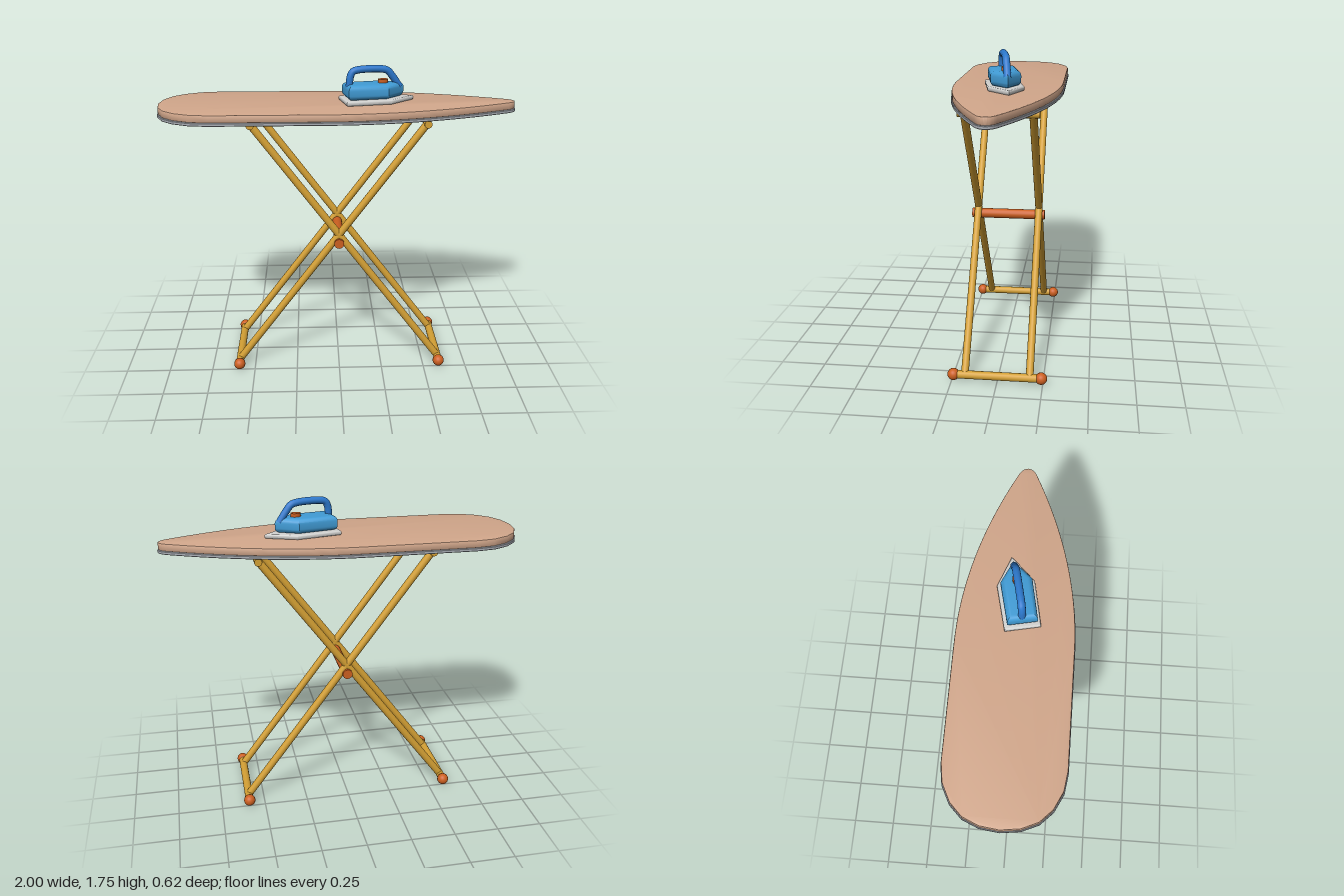
import * as THREE from 'three';
import { toCreasedNormals } from 'three/addons/utils/BufferGeometryUtils.js';

const paint = (name, color) => {
  const m = new THREE.MeshStandardMaterial({ color });
  m.name = name;
  return m;
};

export function createModel() {
  const fabric = paint('tan fabric', 0xd2a78b);
  const metal = paint('grey metal', 0xa9adb4);
  const steel = paint('pale steel', 0xd0d0ce);
  const wood = paint('yellow wood', 0xd4a034);
  const orange = paint('orange plastic', 0xcc5f20);
  const blue = paint('light blue plastic', 0x419cd6);
  const darkBlue = paint('blue plastic', 0x2c78cc);

  const model = new THREE.Group();
  model.name = 'ironingBoard';

  const add = (parent, name, geometry, material, x = 0, y = 0, z = 0) => {
    const mesh = new THREE.Mesh(geometry, material);
    mesh.name = name;
    mesh.position.set(x, y, z);
    parent.add(mesh);
    return mesh;
  };

  // Flat slab lying on y = 0, with its bevel kept inside the outline
  const slab = (shape, height, bevel, segments) => {
    const g = new THREE.ExtrudeGeometry(shape, {
      depth: height - 2 * bevel, bevelThickness: bevel, bevelSize: bevel,
      bevelOffset: -bevel, bevelSegments: segments, curveSegments: 20,
    });
    g.translate(0, 0, bevel);
    g.rotateX(-Math.PI / 2);
    return toCreasedNormals(g, 0.6);
  };

  // Round rod between two points
  const rod = (parent, name, a, b, radius, material) => {
    const from = new THREE.Vector3(...a), to = new THREE.Vector3(...b);
    const dir = to.clone().sub(from);
    const mesh = add(parent, name, new THREE.CylinderGeometry(radius, radius, dir.length(), 16), material);
    mesh.position.copy(from).add(to).multiplyScalar(0.5);
    mesh.quaternion.setFromUnitVectors(new THREE.Vector3(0, 1, 0), dir.normalize());
  };

  // Board outline: rounded heel, straight sides, tapering nose
  const outline = (grow) => {
    const heel = [[-0.69, 0.31], [-0.79, 0.295], [-0.88, 0.25], [-0.945, 0.185], [-0.982, 0.1]];
    const w = 0.306 + grow;
    const s = new THREE.Shape();
    s.moveTo(-0.07, -w);
    s.quadraticCurveTo(0.42, -w, 0.94, -0.055 - grow);
    s.quadraticCurveTo(0.988 + grow, -0.035, 0.991 + grow, 0);
    s.quadraticCurveTo(0.988 + grow, 0.035, 0.94, 0.055 + grow);
    s.quadraticCurveTo(0.42, w, -0.07, w);
    const k = w / 0.31;
    heel.forEach(([x, z]) => s.lineTo(x - grow, z * k));
    s.lineTo(-0.995 - grow, 0);
    heel.reverse().forEach(([x, z]) => s.lineTo(x - grow, -z * k));
    s.closePath();
    return s;
  };
  add(model, 'boardTray', slab(outline(0.005), 0.018, 0.003, 1), metal, 0, 1.49, 0);
  add(model, 'boardPad', slab(outline(0), 0.041, 0.005, 2), fabric, 0, 1.508, 0);

  // Two crossed leg frames
  for (const side of [-1, 1]) {
    const frame = new THREE.Group();
    frame.name = side < 0 ? 'rightLegFrame' : 'leftLegFrame';
    model.add(frame);
    const fx = 0.59 * side, tx = -0.48 * side;
    for (const z of [-0.178, 0.178]) {
      rod(frame, 'leg', [fx, 0.036, z], [tx, 1.467, z], 0.021, wood);
    }
    rod(frame, 'topBar', [tx, 1.467, -0.213], [tx, 1.467, 0.213], 0.021, wood);
    rod(frame, 'footBar', [fx, 0.036, -0.235], [fx, 0.036, 0.235], 0.023, wood);
    for (const z of [-0.241, 0.241]) {
      add(frame, 'footCap', new THREE.SphereGeometry(0.033, 20, 14), orange, fx, 0.036, z);
    }
  }
  rod(model, 'pivotBar', [0, 0.78, -0.213], [0, 0.78, 0.213], 0.028, orange);

  // Iron, turned slightly on the board
  const iron = new THREE.Group();
  iron.name = 'iron';
  iron.position.set(0.025, 1.549, 0.037);
  iron.rotation.y = 0.21;
  model.add(iron);

  const ironShape = (rear, rearHalf, shoulder, half, tip) => new THREE.Shape([
    [rear, -rearHalf], [shoulder, -half], [tip, 0], [shoulder, half], [rear, rearHalf],
  ].map(([x, y]) => new THREE.Vector2(x, y)));

  add(iron, 'solePlate', slab(ironShape(0, 0.094, 0.255, 0.099, 0.41), 0.026, 0.009, 3), steel);
  add(iron, 'ironBody', slab(ironShape(0.015, 0.078, 0.24, 0.082, 0.35), 0.082, 0.028, 5), blue, 0, 0.024, 0);

  const path = new THREE.CatmullRomCurve3([
    [0.036, 0.085], [0.042, 0.145], [0.056, 0.172], [0.085, 0.181],
    [0.22, 0.181], [0.255, 0.171], [0.285, 0.137], [0.325, 0.08],
  ].map(([x, y]) => new THREE.Vector3(x, y, 0)));
  add(iron, 'ironHandle', new THREE.TubeGeometry(path, 40, 0.02, 14), darkBlue);

  // Steam button under the handle
  const button = add(iron, 'steamButton', new THREE.CylinderGeometry(0.029, 0.029, 0.026, 20), orange, 0.23, 0.112, 0);
  button.scale.z = 0.75;

  return model;
}
